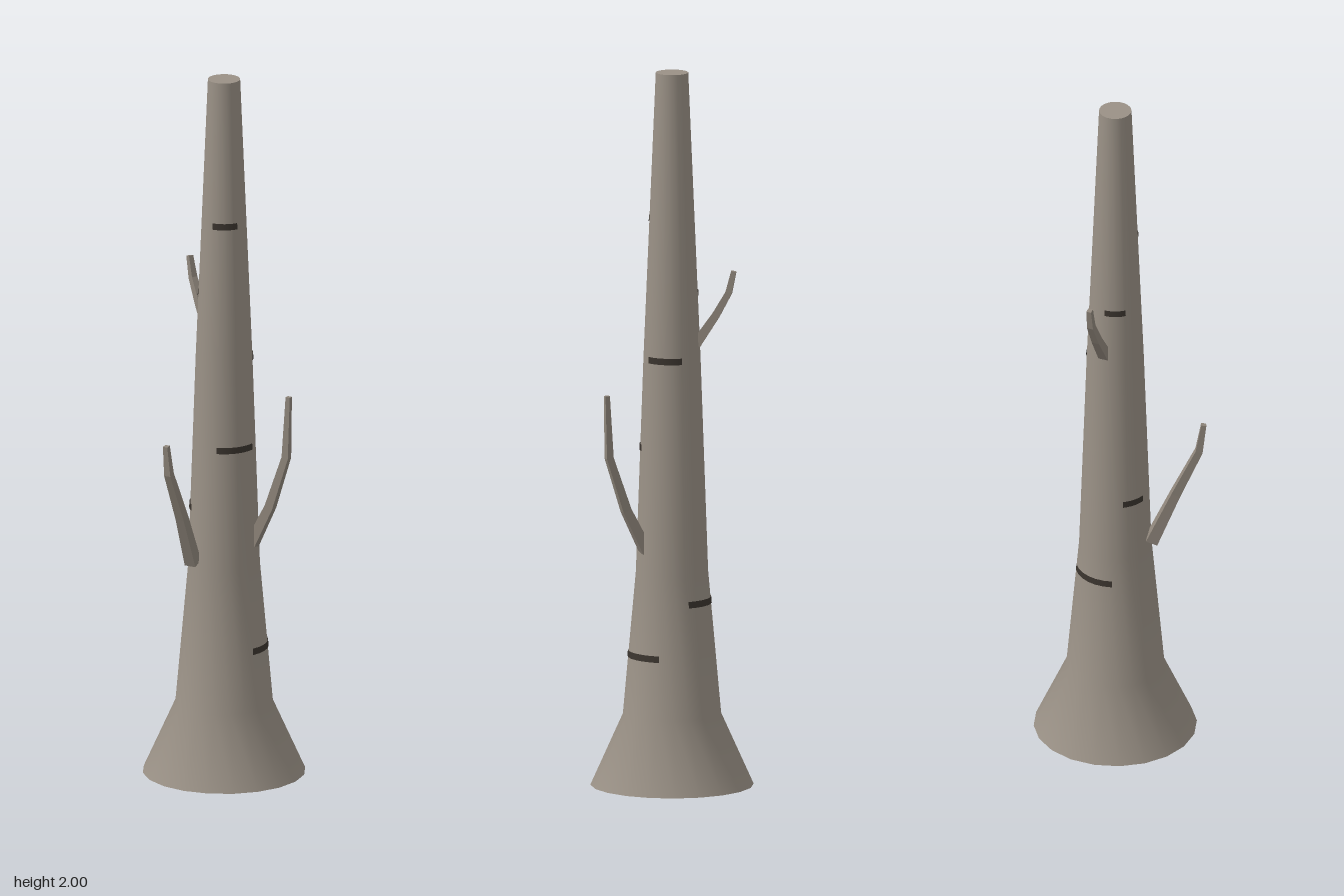
import * as THREE from 'three';

const V = (x, y, z) => new THREE.Vector3(x, y, z);
const SIDES = 20;
const CENTRE_Z = -0.0125;
// trunk profile: [radius, height]
const PROFILE = [[0.226, 0], [0.136, 0.2], [0.1, 0.6], [0.079, 1.2], [0.045, 2]];

const bark = new THREE.MeshStandardMaterial({ color: 0x9a9186 });
const branchBark = new THREE.MeshStandardMaterial({ color: 0x8f867b, flatShading: true });
const scar = new THREE.MeshStandardMaterial({ color: 0x3a342e, side: THREE.DoubleSide });

function trunkRadius(y) {
  const i = Math.max(1, PROFILE.findIndex(p => p[1] >= y));
  const [r0, y0] = PROFILE[i - 1], [r1, y1] = PROFILE[i];
  return r0 + (r1 - r0) * (y - y0) / (y1 - y0);
}

function addMesh(parent, name, geometry, material) {
  const mesh = new THREE.Mesh(geometry, material);
  mesh.name = name;
  parent.add(mesh);
  return mesh;
}

// square tapering limb swept along a few points
function limbGeometry(points, widths) {
  const pos = [], idx = [];
  const n = points.length;
  const run = points[n - 1].clone().sub(points[0]);
  const side = V(run.z, 0, -run.x).normalize();
  points.forEach((p, i) => {
    const dir = points[Math.min(i + 1, n - 1)].clone().sub(points[Math.max(i - 1, 0)]).normalize();
    const up = dir.clone().cross(side).normalize();
    const h = widths[i] / 2;
    for (const [a, b] of [[-1, -1], [1, -1], [1, 1], [-1, 1]]) {
      const c = p.clone().addScaledVector(side, a * h).addScaledVector(up, b * h);
      pos.push(c.x, c.y, c.z);
    }
  });
  for (let i = 0; i < n - 1; i++) {
    for (let j = 0; j < 4; j++) {
      const a = i * 4 + j, b = i * 4 + (j + 1) % 4;
      idx.push(a, b, b + 4, a, b + 4, a + 4);
    }
  }
  const e = (n - 1) * 4;
  idx.push(0, 2, 1, 0, 3, 2, e, e + 1, e + 2, e, e + 2, e + 3);
  const g = new THREE.BufferGeometry();
  g.setAttribute('position', new THREE.Float32BufferAttribute(pos, 3));
  g.setIndex(idx);
  g.computeVertexNormals();
  return g;
}

export function createModel() {
  const tree = new THREE.Group();
  tree.name = 'bareTree';

  // trunk with flared foot, closed at both ends
  const trunk = new THREE.Group();
  trunk.name = 'trunk';
  trunk.position.z = CENTRE_Z;
  tree.add(trunk);
  addMesh(trunk, 'trunkSide',
    new THREE.LatheGeometry(PROFILE.map(([r, y]) => new THREE.Vector2(r, y)), SIDES), bark);
  const top = addMesh(trunk, 'trunkTop', new THREE.CircleGeometry(0.045, SIDES), bark);
  top.rotation.x = -Math.PI / 2;
  top.position.y = 2;
  const foot = addMesh(trunk, 'trunkBase', new THREE.CircleGeometry(0.226, SIDES), bark);
  foot.rotation.x = Math.PI / 2;

  // bark scars: height, start and end angle in degrees from the front towards +x
  const scars = [
    [0.37, 70, 143], [0.52, 185, 262], [0.77, 280, 320], [0.95, 16, 90],
    [1.2, 107, 180], [1.38, 243, 290], [1.59, 0, 64],
  ];
  for (const [y, from, to] of scars) {
    const h = 0.018, lift = 0.002;
    const start = THREE.MathUtils.degToRad(from), sweep = THREE.MathUtils.degToRad(to - from);
    const band = addMesh(trunk, 'barkScar', new THREE.CylinderGeometry(
      trunkRadius(y + h / 2) + lift, trunkRadius(y - h / 2) + lift, h, 6, 1, true, start, sweep), scar);
    band.position.y = y;
  }

  // dead branches
  addMesh(tree, 'leftBranch', limbGeometry(
    [V(0.075, 0.65, -0.025), V(0.14, 0.78, -0.025), V(0.19, 0.93, -0.026), V(0.197, 1.105, -0.027)],
    [0.032, 0.025, 0.02, 0.013]), branchBark);
  addMesh(tree, 'frontBranch', limbGeometry(
    [V(-0.044, 0.62, 0.085), V(-0.042, 0.77, 0.152), V(-0.046, 0.91, 0.217), V(-0.047, 0.995, 0.23)],
    [0.034, 0.026, 0.02, 0.014]), branchBark);
  addMesh(tree, 'rearBranch', limbGeometry(
    [V(-0.06, 1.24, -0.045), V(-0.108, 1.32, -0.07), V(-0.14, 1.385, -0.087), V(-0.153, 1.445, -0.092)],
    [0.028, 0.022, 0.018, 0.014]), branchBark);

  return tree;
}
